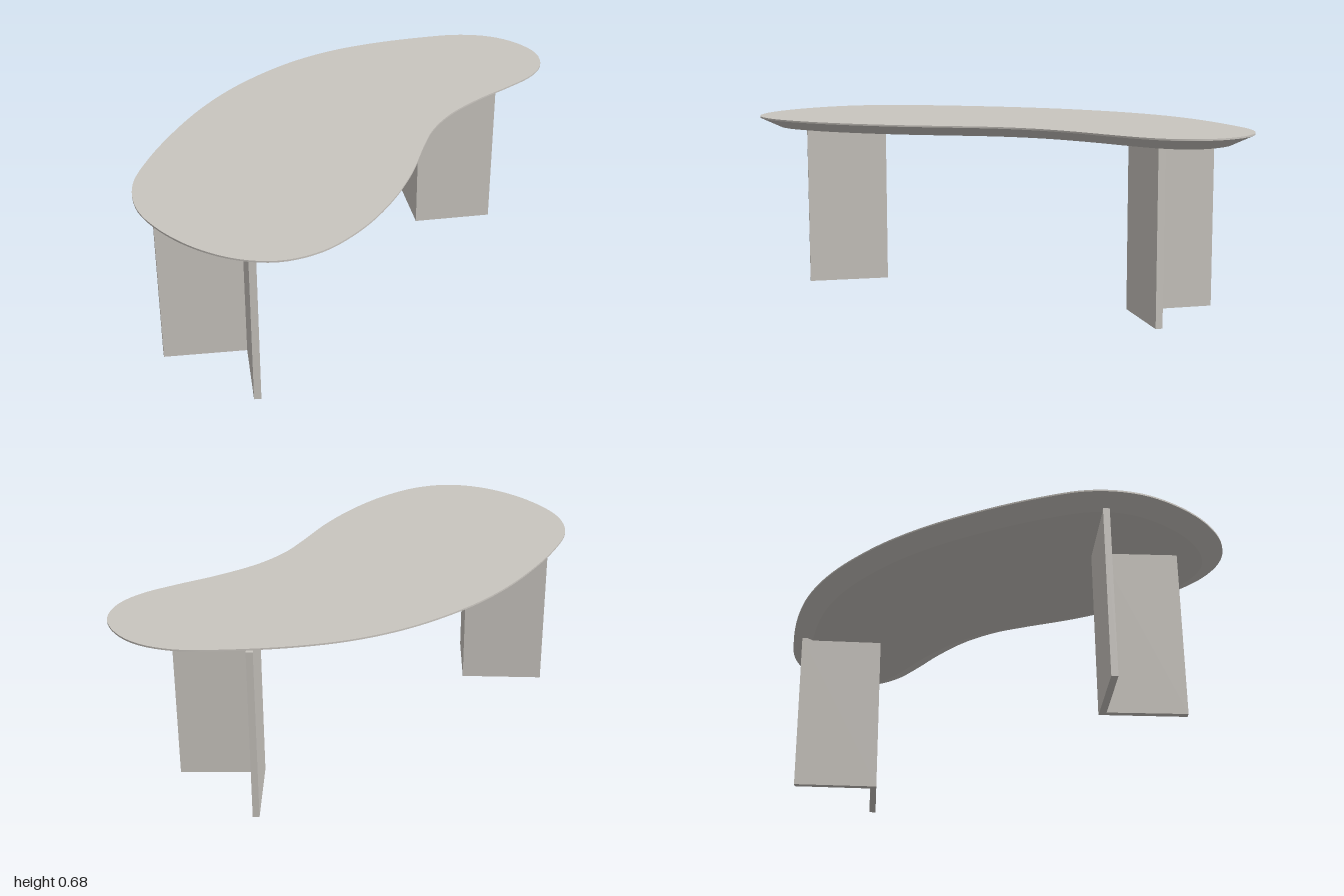
import * as THREE from 'three';

const stone = new THREE.MeshStandardMaterial({ color: 0xc9c5bf });
stone.name = 'warm grey';

const TOP = 0.675, RIM = 0.669, UNDER = 0.633, INSET = 0.077;

// Kidney-shaped plan, as x, z points running clockwise seen from above
const PLAN = [
  [0, -0.508], [0.25, -0.483], [0.45, -0.422], [0.62, -0.33], [0.8, -0.195], [0.93, -0.07],
  [0.99, 0.05], [0.995, 0.17], [0.95, 0.285], [0.86, 0.355], [0.75, 0.375], [0.6, 0.352],
  [0.45, 0.318], [0.27, 0.298], [0.12, 0.315], [0, 0.355], [-0.2, 0.432], [-0.4, 0.483],
  [-0.6, 0.503], [-0.78, 0.48], [-0.9, 0.41], [-0.97, 0.3], [-1, 0.15], [-0.985, -0.02],
  [-0.93, -0.17], [-0.82, -0.292], [-0.65, -0.376], [-0.4, -0.455], [-0.2, -0.495],
];

// Closed strip between two rings of equal length, facing outwards
function band(upper, yUpper, lower, yLower) {
  const n = upper.length, pos = [], index = [];
  upper.forEach((p) => pos.push(p.x, yUpper, p.y));
  lower.forEach((p) => pos.push(p.x, yLower, p.y));
  for (let i = 0; i < n; i++) {
    const j = (i + 1) % n;
    index.push(i, j, n + i, j, n + j, n + i);
  }
  const g = new THREE.BufferGeometry();
  g.setAttribute('position', new THREE.Float32BufferAttribute(pos, 3));
  g.setIndex(index);
  g.computeVertexNormals();
  return g;
}

// Flat face filling a ring, facing up (side = 1) or down (side = -1)
function cap(ring, y, side) {
  const shape = new THREE.Shape(ring.map((p) => new THREE.Vector2(p.x, -side * p.y)));
  return new THREE.ShapeGeometry(shape).rotateX(-side * Math.PI / 2).translate(0, y, 0);
}

function part(name, geometry) {
  const mesh = new THREE.Mesh(geometry, stone);
  mesh.name = name;
  return mesh;
}

function tabletop() {
  const curve = new THREE.CatmullRomCurve3(PLAN.map(([x, z]) => new THREE.Vector3(x, 0, z)), true);
  const outer = [], inner = [], count = 160;
  for (let i = 0; i < count; i++) {
    const p = curve.getPointAt(i / count), t = curve.getTangentAt(i / count);
    outer.push(new THREE.Vector2(p.x, p.z));
    inner.push(new THREE.Vector2(p.x - t.z * INSET, p.z + t.x * INSET));
  }
  const group = new THREE.Group();
  group.name = 'tabletop';
  group.add(
    part('topSurface', cap(outer, TOP, 1)),
    part('rim', band(outer, TOP, outer, RIM)),
    part('underBevel', band(outer, RIM, inner, UNDER)),
    part('underside', cap(inner, UNDER, -1)),
  );
  return group;
}

// V-shaped leg, opening towards the end of the table
const LEG = [[0.497, 0.017], [0.72, 0.236], [0.737, 0.217], [0.531, 0.018], [0.737, -0.199], [0.721, -0.217]];

function leg(name, mapX) {
  const shape = new THREE.Shape(LEG.map(([x, z]) => new THREE.Vector2(mapX(x), -z)));
  const g = new THREE.ExtrudeGeometry(shape, { depth: 0.644, bevelEnabled: false });
  return part(name, g.rotateX(-Math.PI / 2));
}

export function createModel() {
  const model = new THREE.Group();
  model.name = 'table';
  model.add(
    tabletop(),
    leg('leftLeg', (x) => x),
    leg('rightLeg', (x) => -x - 0.093),
  );
  return model;
}
